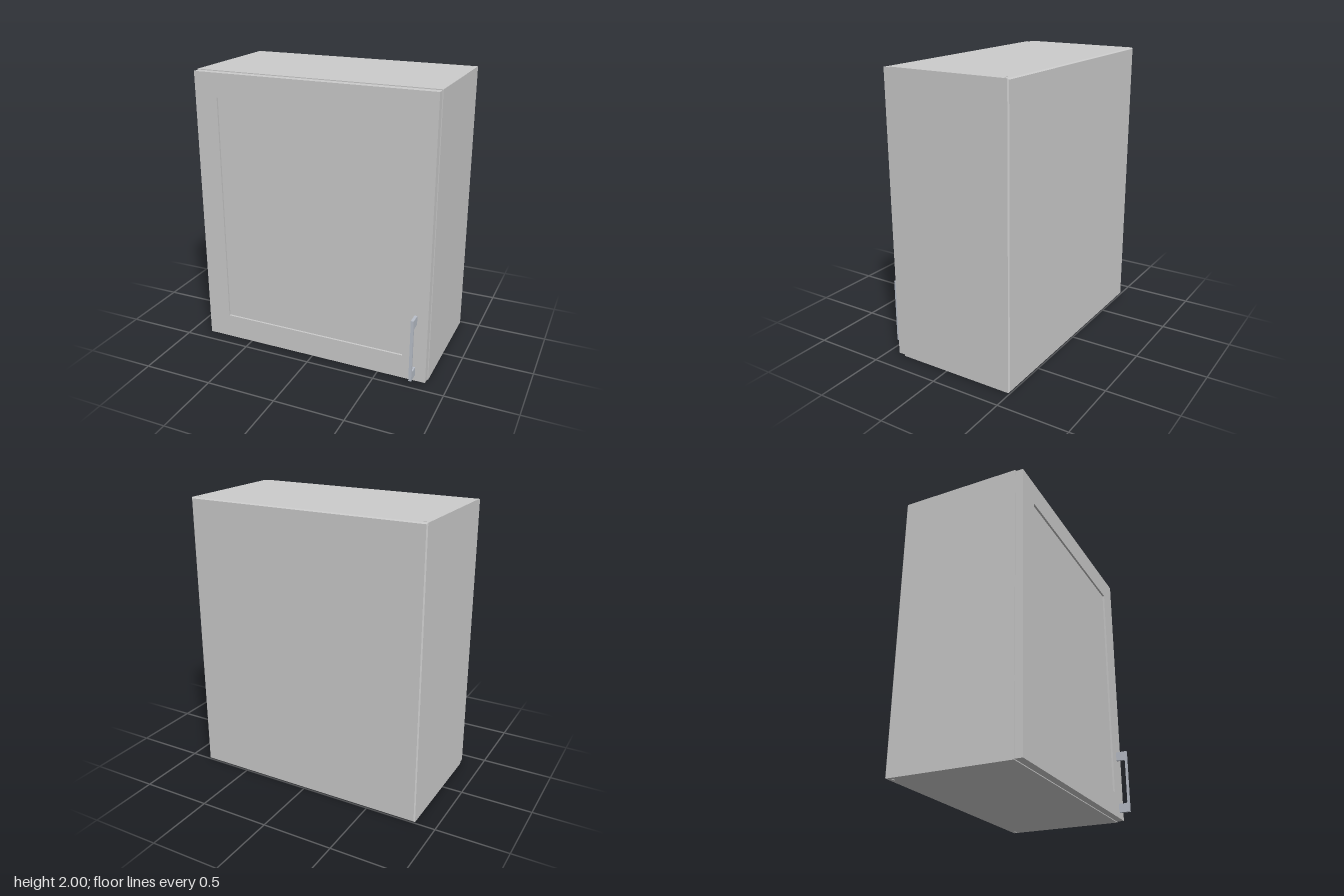
import * as THREE from 'three';

const W = 0.854, H = 2, BACK = -0.496, FRONT = 0.365, DOOR = 0.418;
const grey = new THREE.MeshStandardMaterial({ color: 0xcccccc });
const metal = new THREE.MeshStandardMaterial({ color: 0xb9bfc9 });

function rect(Type, x0, y0, x1, y1) {
  return new Type([[x0, y0], [x1, y0], [x1, y1], [x0, y1]].map(p => new THREE.Vector2(...p)));
}

function extrude(shape, depth) {
  return new THREE.ExtrudeGeometry(shape, { depth, bevelEnabled: false, curveSegments: 6 });
}

export function createModel() {
  const cabinet = new THREE.Group();
  cabinet.name = 'wallCabinet';
  const add = (name, geometry, material = grey) => {
    const mesh = new THREE.Mesh(geometry, material);
    mesh.name = name;
    cabinet.add(mesh);
    return mesh;
  };
  const box = (name, x0, x1, y0, y1, z0, z1) => {
    const g = new THREE.BoxGeometry(x1 - x0, y1 - y0, z1 - z0);
    return add(name, g.translate((x0 + x1) / 2, (y0 + y1) / 2, (z0 + z1) / 2));
  };

  // Carcass: two side boards, and top and bottom boards with mounting slots
  const t = 0.02, chamfer = 0.008, coreBack = BACK + chamfer;
  box('rightSide', -W, -W + t, 0, H, coreBack, FRONT);
  box('leftSide', W - t, W, 0, H, coreBack, FRONT);
  const board = rect(THREE.Shape, -W + t, -FRONT, W - t, -coreBack);
  for (const x of [-0.816, 0.816]) {
    board.holes.push(rect(THREE.Path, x - 0.014, 0.453, x + 0.014, 0.463));
  }
  for (const [name, y] of [['bottomBoard', 0], ['topBoard', H - t]]) {
    add(name, extrude(board, t).rotateX(-Math.PI / 2)).position.y = y;
  }

  // Back panel, chamfered towards the wall
  const back = new THREE.BoxGeometry(2 * W, H, chamfer);
  const p = back.attributes.position;
  for (let i = 0; i < p.count; i++) {
    if (p.getZ(i) < 0) {
      p.setX(i, p.getX(i) - Math.sign(p.getX(i)) * chamfer);
      p.setY(i, p.getY(i) - Math.sign(p.getY(i)) * chamfer);
    }
  }
  const flatBack = back.toNonIndexed();
  flatBack.computeVertexNormals();
  add('backPanel', flatBack).position.set(0, H / 2, BACK + chamfer / 2);

  // Door: frame with a shallow recessed panel
  const gap = 0.006;
  const frame = rect(THREE.Shape, -W + gap, gap, W - gap, H - gap);
  frame.holes.push(rect(THREE.Path, -0.682, 0.18, 0.678, 1.828));
  add('doorFrame', extrude(frame, DOOR - FRONT)).position.z = FRONT;
  box('doorPanel', -0.69, 0.69, 0.17, 1.84, FRONT, DOOR - 0.014);

  // Handle: flat bow with rounded inner corners, drawn from the side
  const r = 0.015, inner = 0.483, outer = 0.498;
  const bow = new THREE.Shape();
  bow.moveTo(DOOR, 0.048);
  bow.lineTo(outer, 0.048);
  bow.lineTo(outer, 0.505);
  bow.lineTo(DOOR, 0.505);
  bow.lineTo(DOOR, 0.44);
  bow.lineTo(inner - r, 0.44);
  bow.quadraticCurveTo(inner, 0.44, inner, 0.44 - r);
  bow.lineTo(inner, 0.112 + r);
  bow.quadraticCurveTo(inner, 0.112, inner - r, 0.112);
  bow.lineTo(DOOR, 0.112);
  add('handle', extrude(bow, 0.02).rotateY(-Math.PI / 2), metal).position.x = 0.774;

  return cabinet;
}
